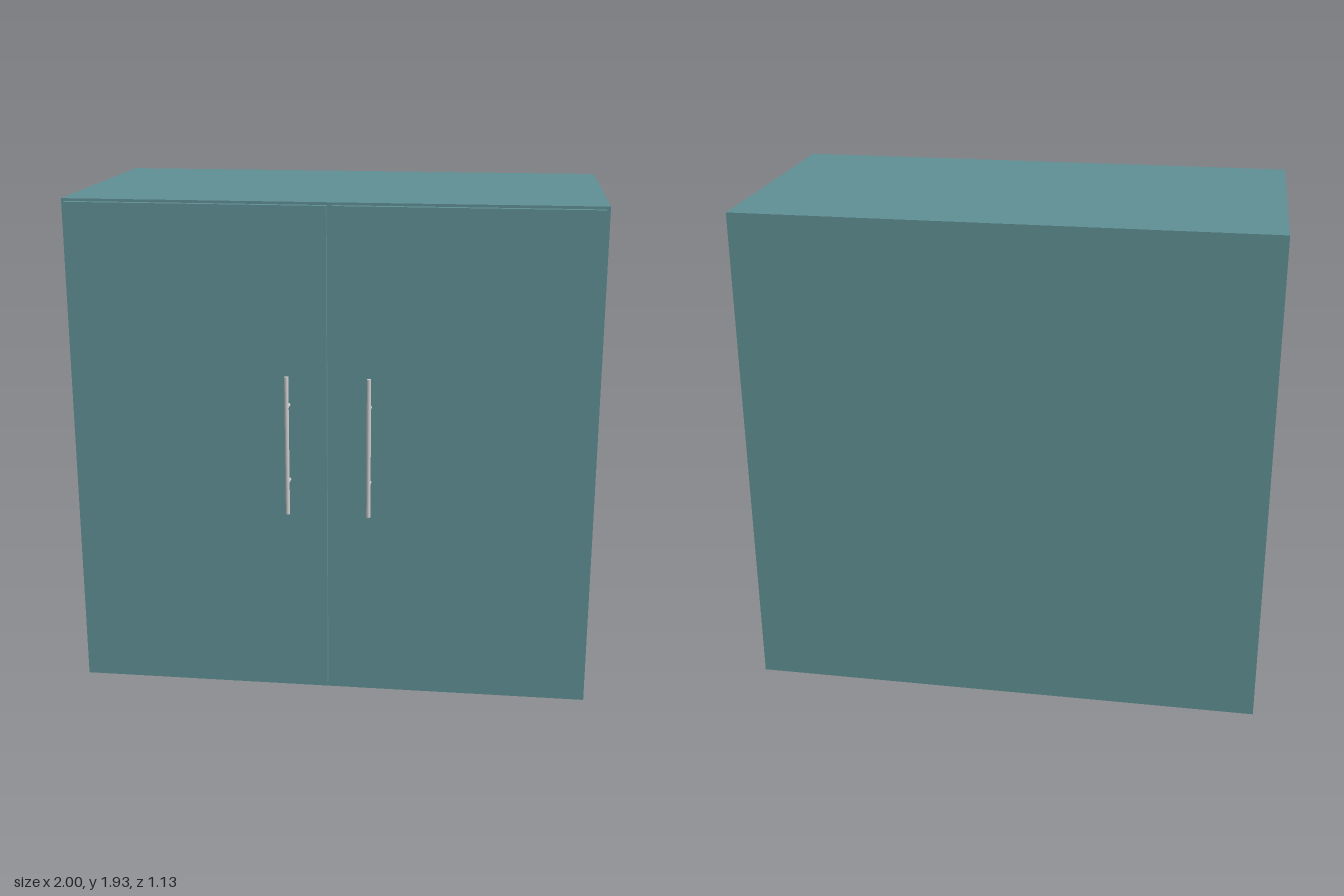
import * as THREE from 'three';

export function createModel() {
  const model = new THREE.Group();
  const paint = new THREE.MeshStandardMaterial({ color: 0x5f8f94 });
  const metal = new THREE.MeshStandardMaterial({ color: 0xcccccc });

  const add = (parent, name, geometry, material, x, y, z) => {
    const mesh = new THREE.Mesh(geometry, material);
    mesh.name = name;
    mesh.position.set(x, y, z);
    parent.add(mesh);
    return mesh;
  };

  // Cabinet body
  const height = 1.935, back = -0.565, front = 0.478;
  add(model, 'cabinetBody', new THREE.BoxGeometry(2, height, front - back), paint,
    0, height / 2, (front + back) / 2);

  const doorGeometry = new THREE.BoxGeometry(0.975, 1.905, 0.025);
  const barGeometry = new THREE.CylinderGeometry(0.008, 0.008, 0.54, 20);
  const postGeometry = new THREE.CylinderGeometry(0.006, 0.006, 0.055, 16).rotateX(Math.PI / 2);

  for (const [side, s] of [['left', 1], ['right', -1]]) {
    // Overlay door
    add(model, side + 'Door', doorGeometry, paint, s * 0.4985, 0.9725, front + 0.0125);

    // Bar handle on two posts
    const handle = new THREE.Group();
    handle.name = side + 'Handle';
    handle.position.set(s * 0.154, 1.03, 0);
    add(handle, 'handleBar', barGeometry, metal, 0, 0, 0.557);
    for (const y of [-0.148, 0.148]) add(handle, 'handlePost', postGeometry, metal, 0, y, 0.53);
    model.add(handle);
  }
  return model;
}
